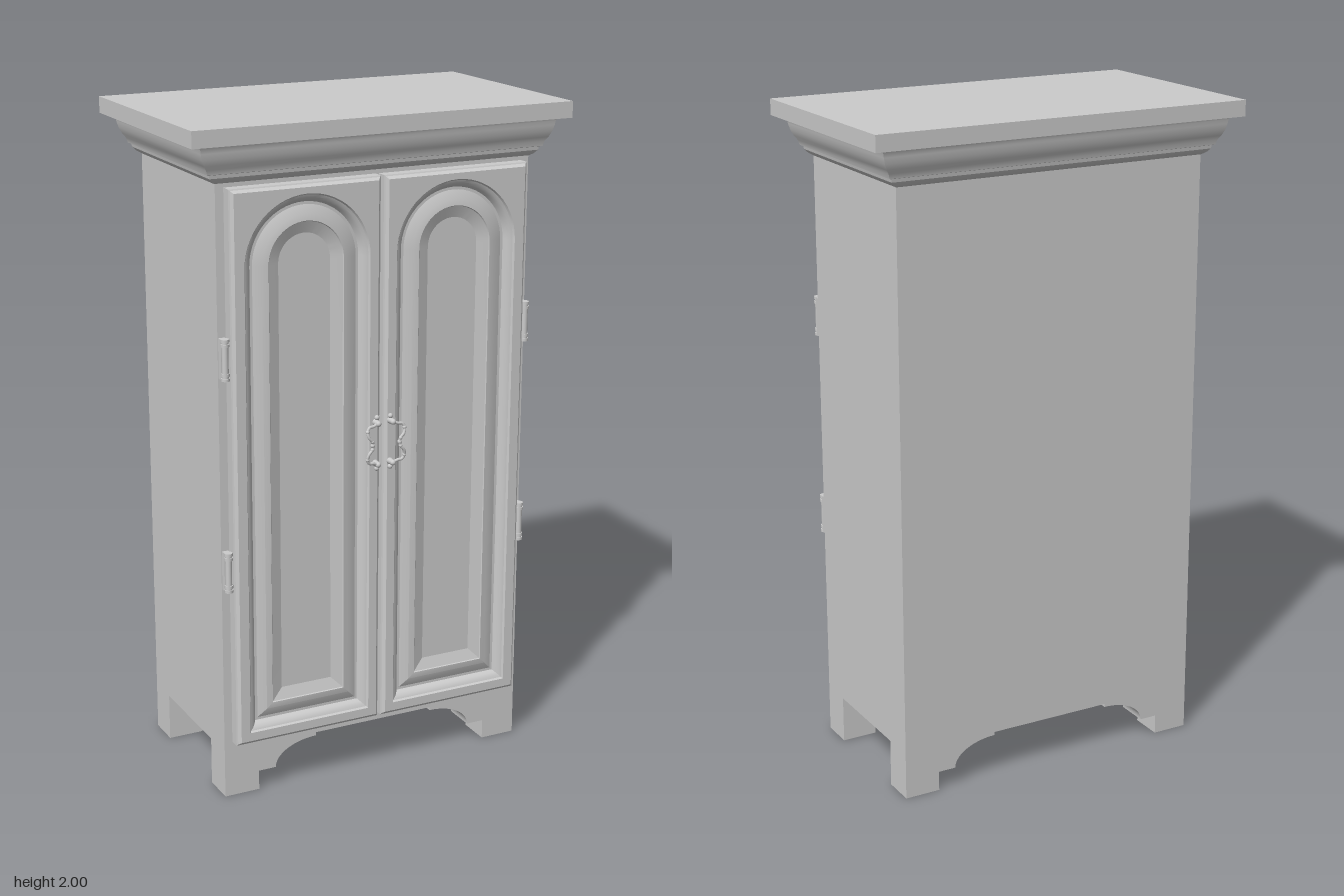
import * as THREE from 'three';
import { toCreasedNormals } from 'three/addons/utils/BufferGeometryUtils.js';

const material = new THREE.MeshStandardMaterial({ color: 0xcccccc });

function add(parent, name, geometry, x = 0, y = 0, z = 0) {
  const mesh = new THREE.Mesh(geometry, material);
  mesh.name = name;
  mesh.position.set(x, y, z);
  parent.add(mesh);
  return mesh;
}

// Counter-clockwise outlines in the xy plane
const rectangle = (x0, x1, y0, y1) =>
  [[x0, y0], [x1, y0], [x1, y1], [x0, y1]].map(([x, y]) => new THREE.Vector2(x, y));

function arch(cx, radius, bottom, spring) {
  const points = [new THREE.Vector2(cx - radius, bottom), new THREE.Vector2(cx + radius, bottom)];
  for (let i = 0; i <= 28; i++) {
    const a = (Math.PI * i) / 28;
    points.push(new THREE.Vector2(cx + radius * Math.cos(a), spring + radius * Math.sin(a)));
  }
  return points;
}

// Skin a series of outlines, each given as { points, z }
function loft(rings) {
  const positions = [];
  const n = rings[0].points.length;
  for (let k = 0; k < rings.length - 1; k++) {
    const [a, b] = [rings[k], rings[k + 1]];
    for (let i = 0; i < n; i++) {
      const j = (i + 1) % n;
      for (const [ring, v] of [[a, i], [a, j], [b, j], [a, i], [b, j], [b, i]]) {
        positions.push(ring.points[v].x, ring.points[v].y, ring.z);
      }
    }
  }
  const geometry = new THREE.BufferGeometry();
  geometry.setAttribute('position', new THREE.Float32BufferAttribute(positions, 3));
  geometry.computeVertexNormals();
  return toCreasedNormals(geometry, 0.4);
}

function makeBase() {
  const base = new THREE.Group();
  base.name = 'base';
  // Front and back aprons: feet joined by a stepped arch
  const shape = new THREE.Shape();
  shape.moveTo(-0.495, 0);
  shape.lineTo(-0.385, 0);
  shape.lineTo(-0.385, 0.06);
  shape.lineTo(-0.33, 0.06);
  shape.absellipse(-0.195, 0.06, 0.135, 0.075, Math.PI, Math.PI / 2, true);
  shape.lineTo(-0.195, 0.146);
  shape.lineTo(-0.495, 0.146);
  const geometry = new THREE.ExtrudeGeometry(shape, { depth: 0.102, bevelEnabled: false, curveSegments: 12 });
  for (const z of [-0.267, 0.168]) {
    add(base, 'leftFoot', geometry, 0, 0, z + 0.102).rotation.y = Math.PI;
    add(base, 'rightFoot', geometry, 0, 0, z);
  }
  return base;
}

function makeCrown() {
  const crown = new THREE.Group();
  crown.name = 'crown';
  // Moulding profile as [overhang, height]
  const profile = [[0, 1.838], [0.012, 1.845], [0.022, 1.856], [0.024, 1.866], [0.032, 1.868], [0.036, 1.882],
    [0.045, 1.895], [0.053, 1.912], [0.058, 1.93], [0.06, 1.942], [0.066, 1.952], [0.097, 1.952], [0.097, 2]];
  const outline = (d) => rectangle(-0.495 - d, 0.495 + d, -0.269 - d * 0.81, 0.269 + d * 0.81);
  const sides = loft(profile.map(([d, z]) => ({ points: outline(d), z })));
  add(crown, 'crownMoulding', sides.rotateX(-Math.PI / 2));
  const top = new THREE.ShapeGeometry(new THREE.Shape(outline(0.097)));
  add(crown, 'topBoard', top.rotateX(-Math.PI / 2), 0, 2, 0);
  return crown;
}

function makeDoor(side) {
  const door = new THREE.Group();
  door.name = side > 0 ? 'leftDoor' : 'rightDoor';
  const front = 0.314;
  const cx = side * 0.236;
  const edges = [side * 0.005, side * 0.47].sort((a, b) => a - b);
  const outline = (d) => rectangle(edges[0] + d, edges[1] - d, 0.175 + d, 1.827 - d);
  const opening = (d) => arch(cx, 0.194 - d, 0.212 + d, 1.604);

  // Rim with a chamfered edge
  const rim = [[0, 0.268], [0, 0.302], [0.004, 0.304], [0.011, front]];
  add(door, 'doorEdge', loft(rim.map(([d, z]) => ({ points: outline(d), z }))));

  const face = new THREE.Shape(outline(0.011));
  face.holes.push(new THREE.Path(opening(0)));
  add(door, 'doorFrame', new THREE.ShapeGeometry(face), 0, 0, front);

  // Stepped moulding, raised border and sunken centre field
  const steps = [[0, front], [0.004, 0.308], [0.012, 0.305], [0.02, 0.298], [0.026, 0.288],
    [0.034, 0.288], [0.06, 0.299], [0.078, 0.302], [0.08, 0.299], [0.114, 0.287]];
  add(door, 'archedMoulding', loft(steps.map(([d, z]) => ({ points: opening(d), z }))));
  add(door, 'centrePanel', new THREE.ShapeGeometry(new THREE.Shape(opening(0.114))), 0, 0, 0.287);
  return door;
}

function makeHinge(side, y) {
  const hinge = new THREE.Group();
  hinge.name = 'hinge';
  add(hinge, 'hingeBarrel', new THREE.CylinderGeometry(0.0095, 0.0095, 0.116, 16), 0, 0, 0.024);
  for (const dy of [-0.056, -0.042, 0.042, 0.056]) {
    add(hinge, 'hingeKnuckle', new THREE.CylinderGeometry(0.0125, 0.0125, 0.008, 16), 0, dy, 0.024);
  }
  add(hinge, 'hingeLeaf', new THREE.BoxGeometry(0.02, 0.116, 0.02), 0, 0, 0.008);
  hinge.position.set(side * 0.483, y, 0.27);
  return hinge;
}

function makeHandle(side) {
  const handle = new THREE.Group();
  handle.name = 'handle';
  const ball = (name, r, x, y, z) => add(handle, name, new THREE.SphereGeometry(r, 14, 10), side * x, y, z);
  // Mounts with small finials at both ends
  for (const s of [-1, 1]) {
    const post = new THREE.CylinderGeometry(0.008, 0.01, 0.02, 14).rotateX(Math.PI / 2);
    add(handle, 'handleMount', post, side * 0.024, s * 0.062, 0.01);
    ball('handleMountCap', 0.0085, 0.024, s * 0.062, 0.02);
    ball('handleFinial', 0.0075, 0.022, s * 0.077, 0.006);
    ball('handleScroll', 0.006, 0.06, s * 0.042, 0.022);
    ball('handleBead', 0.0055, 0.046, s * 0.012, 0.025);
  }
  // Double-curved bail
  const half = [[0.024, 0.062, 0.017], [0.04, 0.056, 0.019], [0.053, 0.054, 0.02], [0.06, 0.042, 0.022],
    [0.057, 0.026, 0.025], [0.046, 0.012, 0.025]];
  const points = [...half, [0.044, 0, 0.023], ...half.map(([x, y, z]) => [x, -y, z]).reverse()];
  const path = new THREE.CatmullRomCurve3(points.map(([x, y, z]) => new THREE.Vector3(side * x, y, z)));
  add(handle, 'handleBail', new THREE.TubeGeometry(path, 64, 0.0045, 10));
  ball('handleCentreBead', 0.007, 0.044, 0, 0.023);
  handle.position.set(0, 1.05, 0.314);
  return handle;
}

export function createModel() {
  const cabinet = new THREE.Group();
  cabinet.name = 'cabinet';

  add(cabinet, 'body', new THREE.BoxGeometry(0.99, 1.7, 0.537), 0, 0.995, 0.0015);
  cabinet.add(makeBase(), makeCrown());
  for (const side of [-1, 1]) {
    cabinet.add(makeDoor(side), makeHandle(side));
    for (const y of [0.72, 1.35]) cabinet.add(makeHinge(side, y));
  }
  return cabinet;
}
